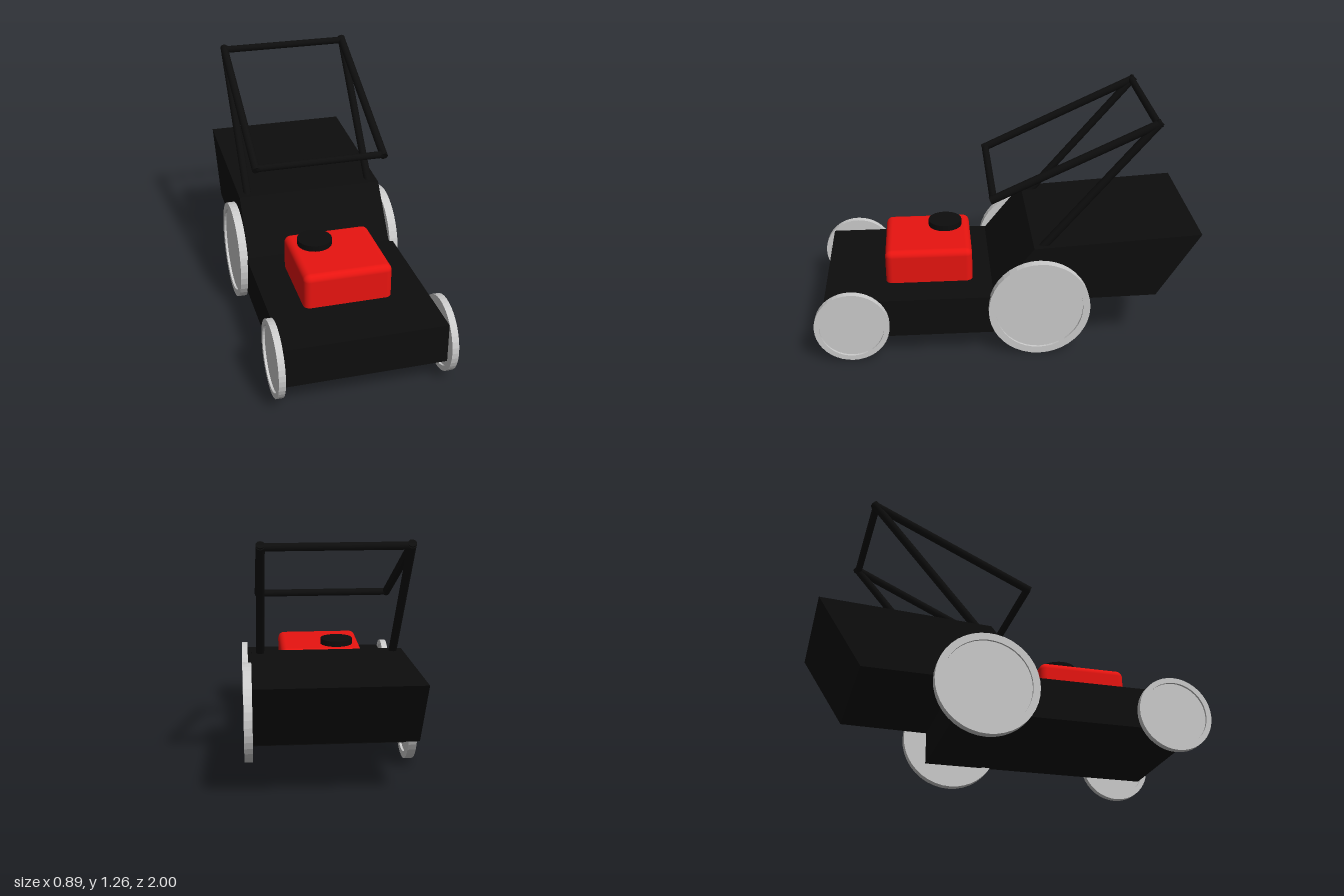
import * as THREE from 'three';
import { RoundedBoxGeometry } from 'three/addons/geometries/RoundedBoxGeometry.js';

const black = new THREE.MeshStandardMaterial({ color: 0x0d0d0d });
const red = new THREE.MeshStandardMaterial({ color: 0xe81410 });
const grey = new THREE.MeshStandardMaterial({ color: 0xcccccc, flatShading: true });

export function createModel() {
  const model = new THREE.Group();
  model.name = 'lawnMower';

  const add = (name, geometry, material, x = 0, y = 0, z = 0) => {
    const mesh = new THREE.Mesh(geometry, material);
    mesh.name = name;
    mesh.position.set(x, y, z);
    model.add(mesh);
    return mesh;
  };

  // Cutting deck
  add('deck', new THREE.BoxGeometry(0.82, 0.21, 1.245), black, 0, 0.23, 0.3175);

  // Grass bag with sloped chute: side profile in (z, y), extruded across x
  const profile = [[0.08, 0.32], [-0.14, 0.595], [-1, 0.645], [-0.78, 0.303], [-0.3, 0.295]];
  const shape = new THREE.Shape(profile.map(([z, y]) => new THREE.Vector2(-z, y)));
  const bag = new THREE.ExtrudeGeometry(shape, { depth: 0.79, bevelEnabled: false });
  bag.translate(0, 0, -0.395).rotateY(Math.PI / 2);
  add('grassBag', bag, black, -0.003);

  // Engine cover, its lower rounding sunk in the deck, and the fuel cap
  add('engineCover', new RoundedBoxGeometry(0.457, 0.24, 0.457, 4, 0.035), red, -0.002, 0.394, 0.397);
  add('fuelCap', new THREE.CylinderGeometry(0.09, 0.09, 0.05, 32), black, -0.095, 0.52, 0.303);

  // Wheels: raised tyre rim around a recessed disc
  const addWheel = (name, radius, rim, xIn, xOut, y, z) => {
    const h = Math.abs(xOut - xIn) / 2;
    const d = h - 0.012;
    const section = [
      [0, -d], [radius - rim, -d], [radius - rim, -h], [radius, -h],
      [radius, h], [radius - rim, h], [radius - rim, d], [0, d],
    ].map(([r, a]) => new THREE.Vector2(r, a));
    const wheel = add(name, new THREE.LatheGeometry(section, 40), grey, (xIn + xOut) / 2, y, z);
    wheel.rotation.z = Math.PI / 2;
  };
  addWheel('frontLeftWheel', 0.193, 0.027, 0.41, 0.445, 0.203, 0.803);
  addWheel('frontRightWheel', 0.193, 0.027, -0.415, -0.449, 0.203, 0.803);
  addWheel('rearLeftWheel', 0.264, 0.037, 0.393, 0.438, 0.266, -0.167);
  addWheel('rearRightWheel', 0.264, 0.037, -0.406, -0.449, 0.266, -0.167);

  // Folded handle made of straight tubes
  const addBar = (name, a, b, radius = 0.021) => {
    const from = new THREE.Vector3(...a);
    const to = new THREE.Vector3(...b);
    const dir = to.clone().sub(from);
    const bar = add(name, new THREE.CylinderGeometry(radius, radius, dir.length(), 16), black);
    bar.position.copy(from).add(to).multiplyScalar(0.5);
    bar.quaternion.setFromUnitVectors(new THREE.Vector3(0, 1, 0), dir.normalize());
  };
  for (const [side, s] of [['left', 1], ['right', -1]]) {
    const x = s * 0.346;
    addBar(side + 'LowerHandleBar', [x, 0.56, -0.165], [x, 1.25, -0.756]);
    addBar(side + 'UpperHandleBar', [x, 1.245, -0.76], [x, 0.855, 0.08]);
  }
  addBar('foldCrossbar', [-0.346, 1.236, -0.743], [0.346, 1.236, -0.743], 0.019);
  addBar('gripCrossbar', [-0.346, 0.86, 0.065], [0.346, 0.86, 0.065], 0.019);

  return model;
}
